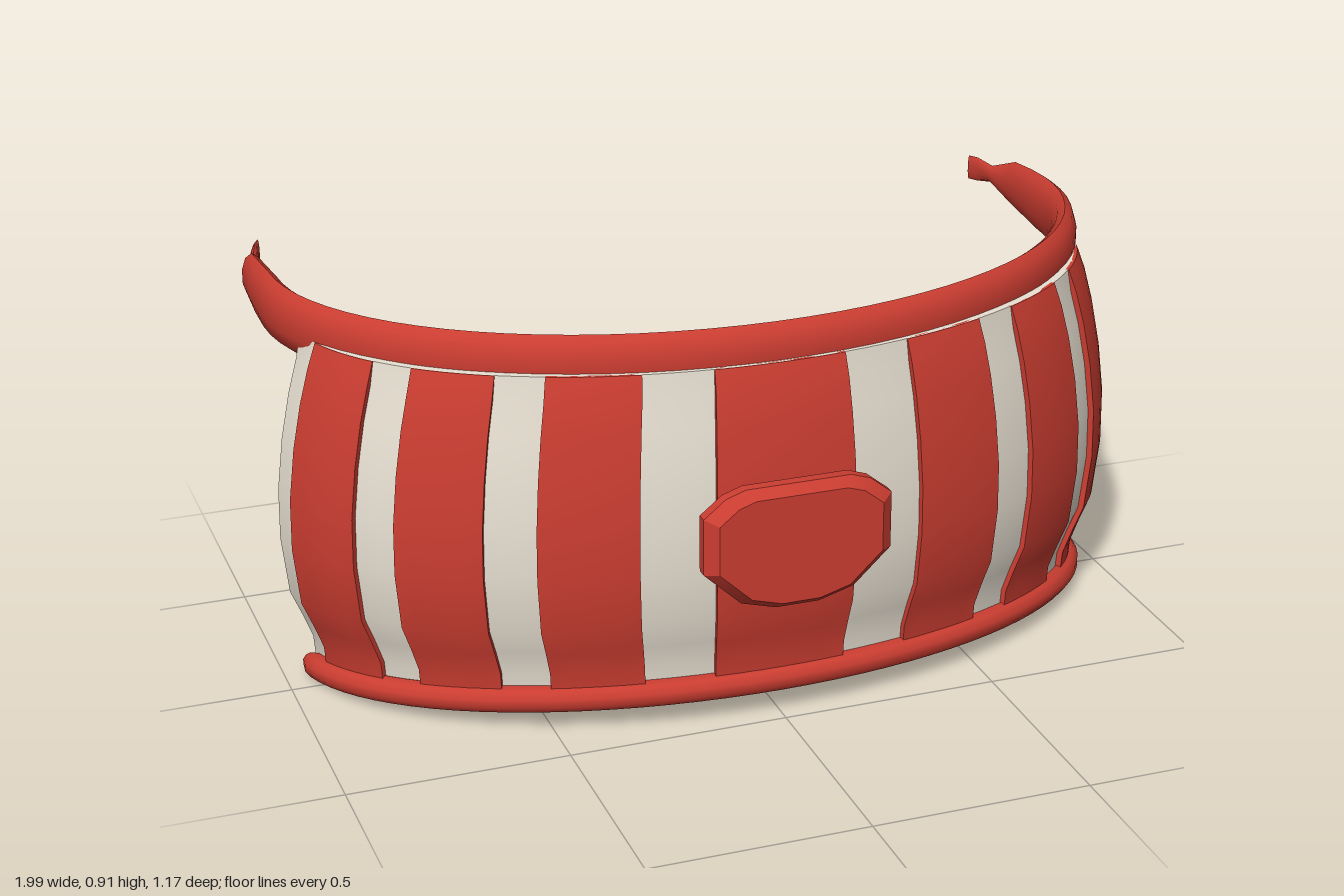
import * as THREE from 'three';
import { toCreasedNormals } from 'three/addons/utils/BufferGeometryUtils.js';
import { ConvexGeometry } from 'three/addons/geometries/ConvexGeometry.js';

const red = new THREE.MeshStandardMaterial({ color: 0xcb3d31 });
const cream = new THREE.MeshStandardMaterial({ color: 0xe8e0d2 });

// Plan of the guard: an ellipse around z = -0.12, scaled by s, pushed outward by o
const A = 1.0, B = 0.615, ZC = -0.12, END = 0.105;
function plan(theta, s, o) {
  const c = Math.cos(theta), n = Math.sin(theta), l = Math.hypot(B * c, A * n);
  return [A * s * c + (o * B * c) / l, ZC + B * s * n + (o * A * n) / l];
}

// Lower edge dips towards the ends
const bottomY = (z) => 0.043 + 0.105 * (z + 0.07);

// Bulge of the panel: [height fraction, plan scale]
const profile = [[0, 0.932], [0.08, 0.937], [0.15, 0.958], [0.23, 0.985], [0.4, 1],
  [0.55, 0.998], [0.7, 0.983], [0.83, 0.962], [0.93, 0.94], [1, 0.93]];

// Skin closed cross-sections (an even number of points each) and cap both ends
function loft(rings, crease = 0.6) {
  const n = rings[0].length, index = [], last = (rings.length - 1) * n;
  for (let i = 0; i < rings.length - 1; i++) {
    for (let j = 0; j < n; j++) {
      const a = i * n + j, b = i * n + ((j + 1) % n);
      index.push(a, b, b + n, a, b + n, a + n);
    }
  }
  for (let j = 0; j < n / 2 - 1; j++) {
    const a = j, b = j + 1, c = n - 2 - j, d = n - 1 - j;
    index.push(c, b, a, d, c, a);
    index.push(last + a, last + b, last + c, last + a, last + c, last + d);
  }
  const g = new THREE.BufferGeometry();
  g.setAttribute('position', new THREE.Float32BufferAttribute(rings.flat(2), 3));
  g.setIndex(index);
  return toCreasedNormals(g, crease);
}

// Curved slab between two angles, from offset inner to offset outer
function slab(t0, t1, inner, outer, steps) {
  return loft(profile.map(([h, s]) => {
    const raise = h === 1 ? Math.min(outer, 0.002) : outer;
    const point = (theta, o) => {
      const [x, z] = plan(theta, s, o);
      const y0 = bottomY(z);
      return [x, y0 + h * (0.845 - y0), z];
    };
    const ring = [];
    for (let k = 0; k <= steps; k++) ring.push(point(t1 + ((t0 - t1) * k) / steps, raise));
    for (let k = 0; k <= steps; k++) ring.push(point(t0 + ((t1 - t0) * k) / steps, inner));
    return ring;
  }));
}

// Oval section swept along stations {x, y, z, w, h}; w and h are half sizes
function strap(stations, sides) {
  return loft(stations.map((p, i) => {
    const a = stations[Math.max(i - 1, 0)], b = stations[Math.min(i + 1, stations.length - 1)];
    const l = Math.hypot(b.x - a.x, b.z - a.z), nx = (b.z - a.z) / l, nz = -(b.x - a.x) / l;
    return Array.from({ length: sides }, (_, k) => {
      const f = ((k + 0.5) / sides) * Math.PI * 2;
      const o = p.w * Math.cos(f);
      return [p.x + nx * o, p.y + p.h * Math.sin(f), p.z + nz * o];
    });
  }), 0.9);
}

export function createModel() {
  const group = new THREE.Group();
  const add = (name, geometry, material) => {
    const mesh = new THREE.Mesh(geometry, material);
    mesh.name = name;
    group.add(mesh);
  };

  // Cream curved panel
  add('panel', slab(END, Math.PI - END, -0.018, 0, 56), cream);

  // Raised red stripes: one in the middle, three mirrored pairs
  const angle = (x) => Math.acos(x / A);
  add('middleStripe', slab(angle(0.16), angle(-0.16), -0.006, 0.013, 6), red);
  [[0.325, 0.535], [0.64, 0.805], [0.877, 0.974]].forEach(([x0, x1], i) => {
    add(`leftStripe${i + 1}`, slab(angle(x1), angle(x0), -0.006, 0.013, 5), red);
    add(`rightStripe${i + 1}`, slab(angle(-x0), angle(-x1), -0.006, 0.013, 5), red);
  });

  // Rolled lower rim, pinched at both ends
  const rim = [];
  const rimStart = 0.07, rimSteps = 44;
  for (let k = 0; k <= rimSteps; k++) {
    const [x, z] = plan(rimStart + ((Math.PI - 2 * rimStart) * k) / rimSteps, 0.94, 0);
    const r = k === 0 || k === rimSteps ? 0.018 : 0.031;
    rim.push({ x, y: bottomY(z) - 0.003, z, w: r, h: r });
  }
  add('lowerRim', strap(rim, 10), red);

  // Upper headband with straight arms tapering to pinched tips
  const tip = [[0.9, -0.585, 0.004, 0.03], [0.912, -0.56, 0.007, 0.03], [0.927, -0.505, 0.013, 0.021],
    [0.948, -0.42, 0.025, 0.055], [0.949, -0.33, 0.028, 0.065]]
    .map(([x, z, w, h]) => ({ x, y: 0.852 - Math.max(0, -z - 0.5) * 0.05, z, w, h }));
  const arc = [];
  for (let k = 0; k <= 40; k++) {
    const f = (Math.PI * k) / 40;
    arc.push({ x: 0.947 * Math.cos(f), y: 0.852, z: -0.25 + 0.664 * Math.sin(f), w: 0.03, h: 0.071 });
  }
  const mirrored = tip.map((p) => ({ ...p, x: -p.x })).reverse();
  add('headband', strap([...tip, ...arc, ...mirrored], 10), red);

  // Faceted badge floating in front
  const half = [[0.05, 0.322], [0.13, 0.345], [0.215, 0.425], [0.215, 0.555], [0.165, 0.595], [0.12, 0.61]];
  const corners = [];
  for (const [x, y] of half) {
    for (const side of [-1, 1]) {
      for (const [z, s] of [[0.535, 1], [0.56, 1], [0.584, 0.87]]) {
        corners.push(new THREE.Vector3(side * x * s, 0.465 + (y - 0.465) * s, z));
      }
    }
  }
  add('badge', toCreasedNormals(new ConvexGeometry(corners), 0.5), red);

  return group;
}
